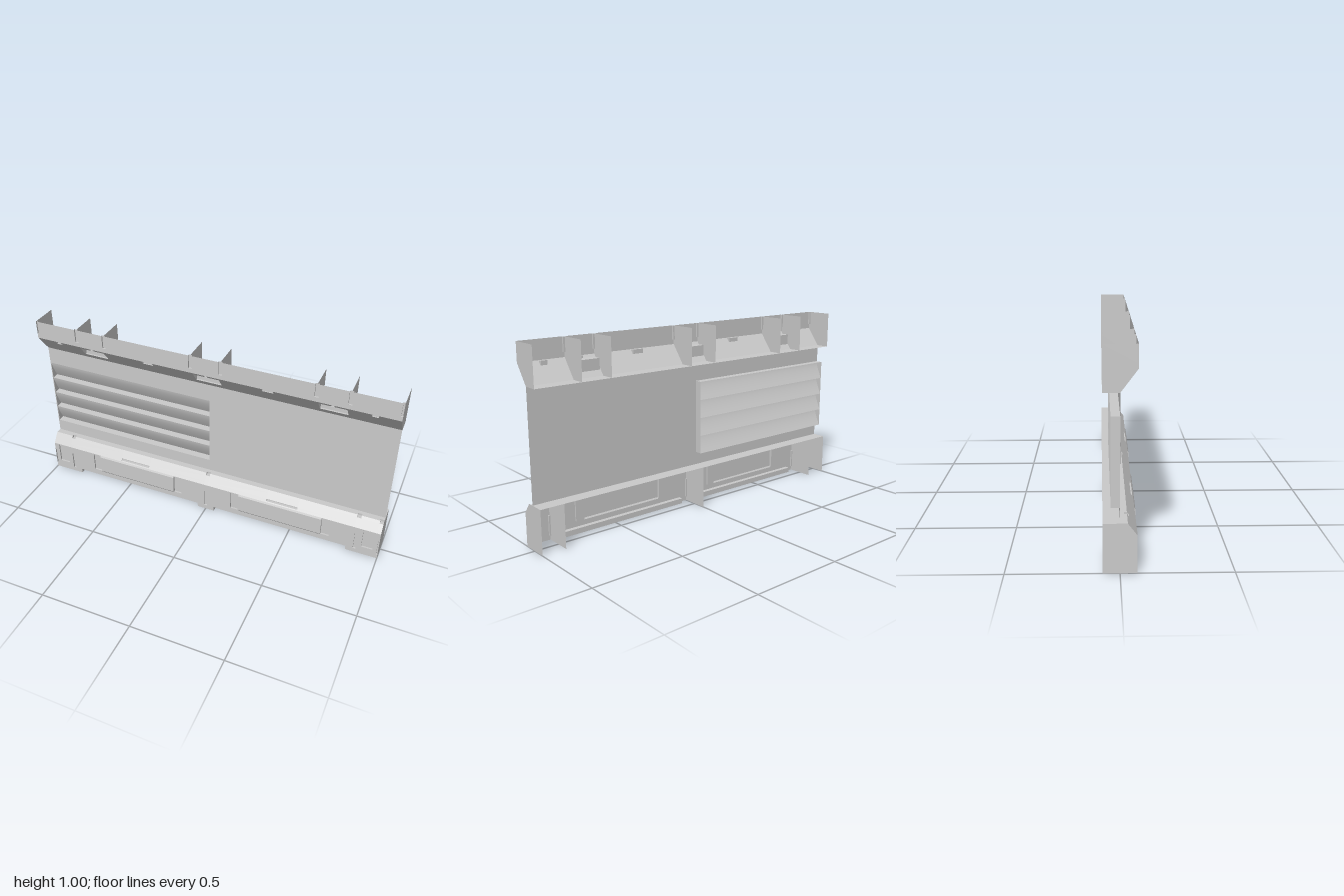
import * as THREE from 'three';

const material = new THREE.MeshStandardMaterial({ color: 0xcccccc, side: THREE.DoubleSide });

// Cross-sections are lists of [z, y]; sheets are swept along x.
function meshFrom(name, positions) {
  const g = new THREE.BufferGeometry();
  g.setAttribute('position', new THREE.Float32BufferAttribute(positions, 3));
  g.computeVertexNormals();
  const mesh = new THREE.Mesh(g, material);
  mesh.name = name;
  return mesh;
}

function strip(out, x0, x1, [z0, y0], [z1, y1]) {
  out.push(x0, y0, z0, x1, y0, z0, x1, y1, z1, x0, y0, z0, x1, y1, z1, x0, y1, z1);
}

// Flat end plate in the z-y plane
function plate(name, x, section) {
  const shape = new THREE.Shape(section.map(([z, y]) => new THREE.Vector2(-z, y)));
  const mesh = new THREE.Mesh(new THREE.ShapeGeometry(shape).rotateY(Math.PI / 2), material);
  mesh.position.x = x;
  mesh.name = name;
  return mesh;
}

// Full-width sheet from p to q; holes are [x0, x1, low, high] along y (or z when level)
function sheet(name, p, q, holes = []) {
  const axis = p[1] === q[1] ? 0 : 1;
  const sorted = (a) => [...new Set(a)].sort((m, n) => m - n);
  const xs = sorted([-1, 1, ...holes.flatMap((h) => [h[0], h[1]])]);
  const vs = sorted([p[axis], q[axis], ...holes.flatMap((h) => [h[2], h[3]])]);
  const at = (v) => {
    const t = (v - p[axis]) / (q[axis] - p[axis]);
    return [p[0] + (q[0] - p[0]) * t, p[1] + (q[1] - p[1]) * t];
  };
  const out = [];
  for (let i = 0; i < xs.length - 1; i++) {
    for (let j = 0; j < vs.length - 1; j++) {
      const x = (xs[i] + xs[i + 1]) / 2, v = (vs[j] + vs[j + 1]) / 2;
      if (holes.some((h) => x > h[0] && x < h[1] && v > h[2] && v < h[3])) continue;
      strip(out, xs[i], xs[i + 1], at(vs[j]), at(vs[j + 1]));
    }
  }
  return meshFrom(name, out);
}

// Recess or raised panel: swept section closed by two end plates
function pocket(name, x0, x1, section, caps = section) {
  const group = new THREE.Group();
  group.name = name;
  const out = [];
  for (let i = 0; i < section.length - 1; i++) strip(out, x0, x1, section[i], section[i + 1]);
  group.add(meshFrom(name + 'Sheet', out), plate(name + 'End', x0, caps), plate(name + 'End', x1, caps));
  return group;
}

const F = 0.075, B = -0.075; // front and back planes
const around = (c, half) => [Math.max(-1, c - half), Math.min(1, c + half)];

function upperHousing() {
  const g = new THREE.Group();
  g.name = 'upperHousing';
  const slopeZ = (y) => (y - 0.8) * 0.75;
  const frontHoles = [], slopeHoles = [];
  const ribs = [-1, 1];
  for (const c of [-2 / 3, 0, 2 / 3]) ribs.push(c - 0.0833, c + 0.0833);

  // ribs, each behind a slot in the front band
  for (const x of ribs) {
    g.add(plate('upperRib', x, [[B, 0.8], [0, 0.8], [F, 0.9], [F, 0.925], [0.066, 0.925], [0.066, 1], [B, 1]]));
    const [a, b] = around(x, 0.01);
    frontHoles.push([a, b, 0.925, 1]);
    g.add(pocket('upperSlot', a, b, [[F, 0.925], [0.066, 0.925], [0.066, 1]],
      [[F, 0.925], [0.066, 0.925], [0.066, 1], [F, 1]]));
  }
  // lamp recesses in the sloping underside
  const recess = (name, c, half, y0, y1, z) => {
    slopeHoles.push([c - half, c + half, y0, y1]);
    g.add(pocket(name, c - half, c + half, [[slopeZ(y0), y0], [z, y0], [z, y1], [slopeZ(y1), y1]]));
  };
  for (const c of [-2 / 3, 0, 2 / 3]) {
    recess('largeRecess', c, 0.072, 0.83, 0.887, 0.012);
    recess('catch', c, 0.009, 0.887, 0.9, 0.06);
  }
  for (const s of [-1, 1]) {
    recess('mediumRecess', s * 0.333, 0.031, 0.878, 0.9, 0.053);
    recess('smallRecess', s * 0.873, 0.017, 0.878, 0.9, 0.053);
  }
  g.add(sheet('upperFront', [F, 0.9], [F, 1], frontHoles));
  g.add(sheet('upperSlope', [0, 0.8], [F, 0.9], slopeHoles));
  g.add(sheet('upperShelf', [B, 0.8], [0, 0.8]));
  return g;
}

function lowerHousing() {
  const g = new THREE.Group();
  g.name = 'lowerHousing';
  const top = 0.23, bend = 0.175, edge = 0.033;
  const slopeZ = (y) => F + ((y - bend) / (top - bend)) * (edge - F);
  const front = [], slope = [], lid = [];
  const recess = (name, x0, x1, y0, y1, d = 0.009) => {
    front.push([x0, x1, y0, y1]);
    g.add(pocket(name, x0, x1, [[F, y0], [F - d, y0], [F - d, y1], [F, y1]]));
  };
  // ribs with their front slots
  for (const x of [-1, -0.873, 0, 0.873, 1]) {
    g.add(plate('lowerRib', x, [[B, 0], [F, 0], [F, 0.025], [0.066, 0.025], [0.066, 0.13],
      [F, 0.13], [F, bend], [0.042, 0.218], [0.02, 0.218], [0.02, top], [B, top]]));
    recess('lowerSlot', ...around(x, 0.008), 0.025, 0.13);
  }
  // raised hatches between grip recesses, end hatches and toe recesses
  for (const s of [-1, 1]) {
    const span = (a, b) => (s > 0 ? [a, b] : [-b, -a]);
    const hatch = span(0.2, 0.68);
    front.push([...hatch, 0.055, bend]);
    g.add(pocket('hatch', ...hatch, [[F, 0.055], [0.08, 0.063], [0.08, 0.165], [F, bend]]));
    recess('grip', ...span(0.152, 0.2), 0.06, 0.17);
    recess('grip', ...span(0.68, 0.728), 0.06, 0.17);
    recess('endHatch', ...span(0.908, 0.97), 0.052, 0.17);

    const toe = span(0.05, 0.825);
    front.push([...toe, 0, 0.028]);
    g.add(pocket('toeRecess', ...toe, [[0.05, 0], [0.05, 0.028], [F, 0.028]],
      [[F, 0], [0.05, 0], [0.05, 0.028], [F, 0.028]]));

    const grip = s > 0 ? [0.36, 0.54] : [-0.54, -0.36];
    slope.push([...grip, 0.18, 0.19]);
    g.add(pocket('hatchLatch', ...grip,
      [[slopeZ(0.18), 0.18], [0.058, 0.18], [0.058, 0.19], [slopeZ(0.19), 0.19]]));
  }
  // notches along the top edge
  for (const x of [-0.88, 0, 0.87, 0.99]) {
    const [a, b] = around(x, 0.011);
    slope.push([a, b, 0.218, top]);
    lid.push([a, b, 0.02, edge]);
    g.add(pocket('edgeNotch', a, b, [[slopeZ(0.218), 0.218], [0.02, 0.218], [0.02, top]],
      [[slopeZ(0.218), 0.218], [0.02, 0.218], [0.02, top], [edge, top]]));
  }
  g.add(sheet('lowerFront', [F, 0], [F, bend], front));
  g.add(sheet('lowerSlope', [F, bend], [edge, top], slope));
  g.add(sheet('lowerLid', [B, top], [edge, top], lid));
  return g;
}

function louver() {
  const g = new THREE.Group();
  g.name = 'louver';
  const x0 = -0.995, x1 = -0.008, depth = 0.04, pitch = 0.1, steps = 8;
  // slats curve back as they go down
  for (let i = 0; i < 4; i++) {
    const yTop = 0.7 - i * pitch;
    const geo = new THREE.PlaneGeometry(x1 - x0, pitch, 1, steps);
    const p = geo.attributes.position;
    for (let k = 0; k < p.count; k++) {
      const t = Math.max(0, 0.5 - p.getY(k) / pitch);
      p.setXYZ(k, p.getX(k) + (x0 + x1) / 2, yTop - pitch * t, -depth * Math.pow(t, 1.3));
    }
    geo.computeVertexNormals();
    const slat = new THREE.Mesh(geo, material);
    slat.name = 'slat';
    g.add(slat);
    const ledge = [];
    strip(ledge, x0, x1, [-depth, yTop - pitch], [0, yTop - pitch]);
    g.add(meshFrom('slatLedge', ledge));
  }
  // reveal around the opening
  const reveal = [];
  strip(reveal, x0, x1, [0, 0.7], [-depth, 0.7]);
  g.add(meshFrom('louverHead', reveal));
  for (const x of [x0, x1]) {
    g.add(plate('louverSide', x, [[0, 0.3], [0, 0.7], [-depth, 0.7], [-depth, 0.3]]));
  }
  return g;
}

export function createModel() {
  const model = new THREE.Group();
  model.name = 'wallPanel';
  model.add(upperHousing(), lowerHousing(), louver());
  // wall sheet with the louver opening
  model.add(sheet('wall', [0, 0.23], [0, 0.8], [[-0.995, -0.008, 0.3, 0.7]]));
  return model;
}
